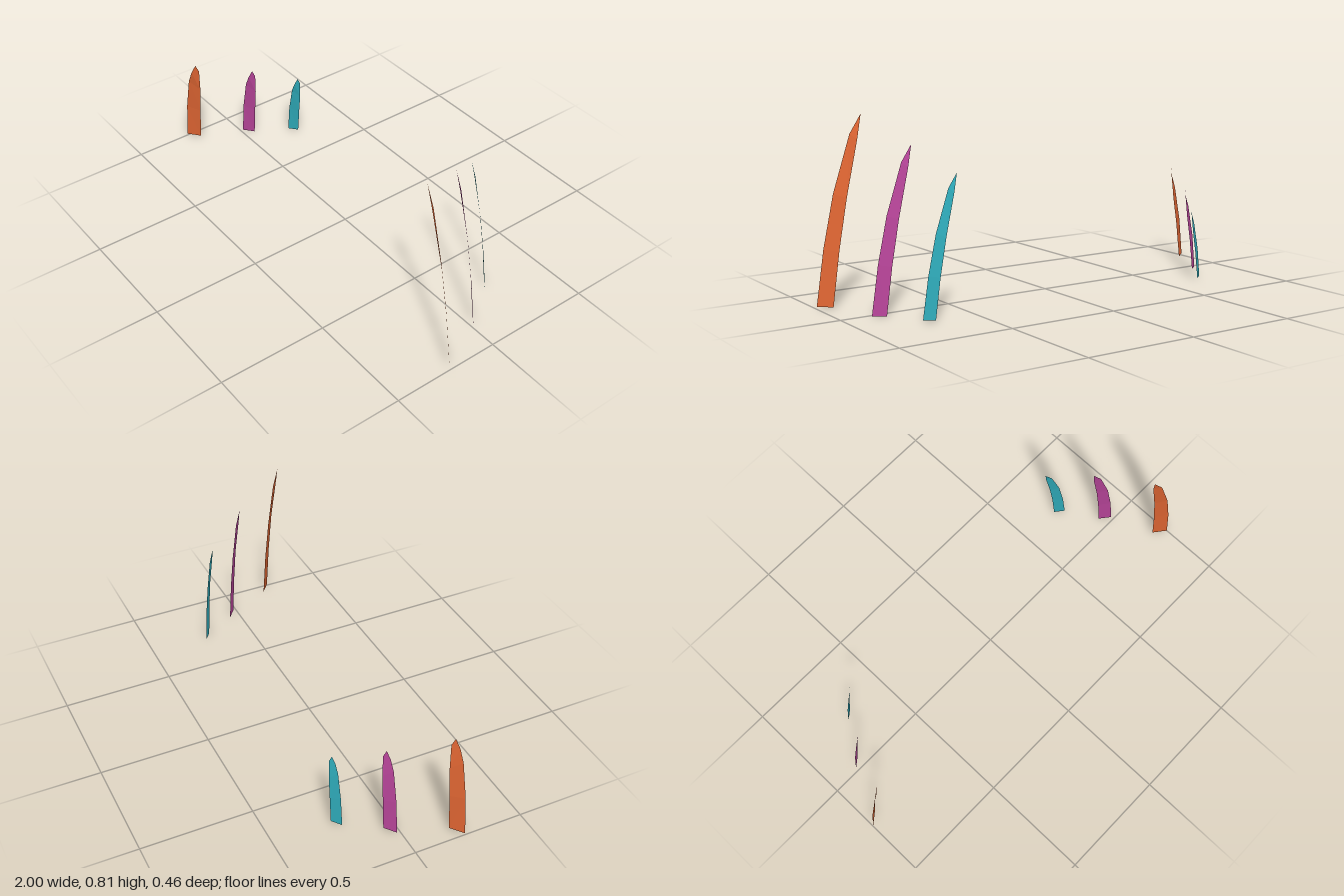
import * as THREE from 'three';

// Cross-sections from base to tip: [outer x, outer y, inner x, inner y, half depth]
const TALL = [
  [0.028, 0, -0.028, 0, 0.022],
  [-0.008, 0.24, -0.061, 0.235, 0.021],
  [-0.057, 0.47, -0.102, 0.455, 0.0185],
  [-0.136, 0.717, -0.158, 0.695, 0.0135],
  [-0.183, 0.8, -0.183, 0.8, 0],
];
const SHORT = [
  [-0.028, 0, 0.027, 0, 0.022],
  [-0.009, 0.18, 0.046, 0.165, 0.021],
  [0.026, 0.345, 0.066, 0.3, 0.0185],
  [0.05, 0.403, 0.076, 0.413, 0.0135],
  [0.068, 0.447, 0.068, 0.447, 0],
];

// Thin curved blade: a strip of quads closed by a pointed tip
function bladeGeometry(rows) {
  const points = [];
  const index = [];
  rows.forEach(([ox, oy, ix, iy, d], i) => {
    points.push(ox, oy, d, ix, iy, -d);
    if (i === 0) return;
    const a = (i - 1) * 2;
    index.push(a, a + 1, a + 2);
    if (i < rows.length - 1) index.push(a + 1, a + 3, a + 2);
  });
  const indexed = new THREE.BufferGeometry();
  indexed.setAttribute('position', new THREE.Float32BufferAttribute(points, 3));
  indexed.setIndex(index);
  const geometry = indexed.toNonIndexed();
  geometry.computeVertexNormals();
  return geometry;
}

function material(name, color) {
  const m = new THREE.MeshStandardMaterial({ color, side: THREE.DoubleSide });
  m.name = name;
  return m;
}

export function createModel() {
  const group = new THREE.Group();
  group.name = 'curvedBlades';
  const tall = bladeGeometry(TALL);
  const short = bladeGeometry(SHORT);

  // One tall and one short blade per colour, shrinking towards the back
  const pairs = [
    { name: 'front', mat: material('orange', 0xe06633), s: 1, tallX: 0.969, shortX: -0.972, y: 0.01, z: 0.21 },
    { name: 'middle', mat: material('magenta', 0xb8459a), s: 0.87, tallX: 0.842, shortX: -0.845, y: 0.002, z: -0.033 },
    { name: 'back', mat: material('teal', 0x2fabba), s: 0.735, tallX: 0.712, shortX: -0.716, y: 0.006, z: -0.216 },
  ];
  for (const p of pairs) {
    for (const [kind, geometry, x] of [['Tall', tall, p.tallX], ['Short', short, p.shortX]]) {
      const blade = new THREE.Mesh(geometry, p.mat);
      blade.name = `${p.name}${kind}Blade`;
      blade.position.set(x, p.y, p.z);
      blade.scale.setScalar(p.s);
      group.add(blade);
    }
  }
  return group;
}
